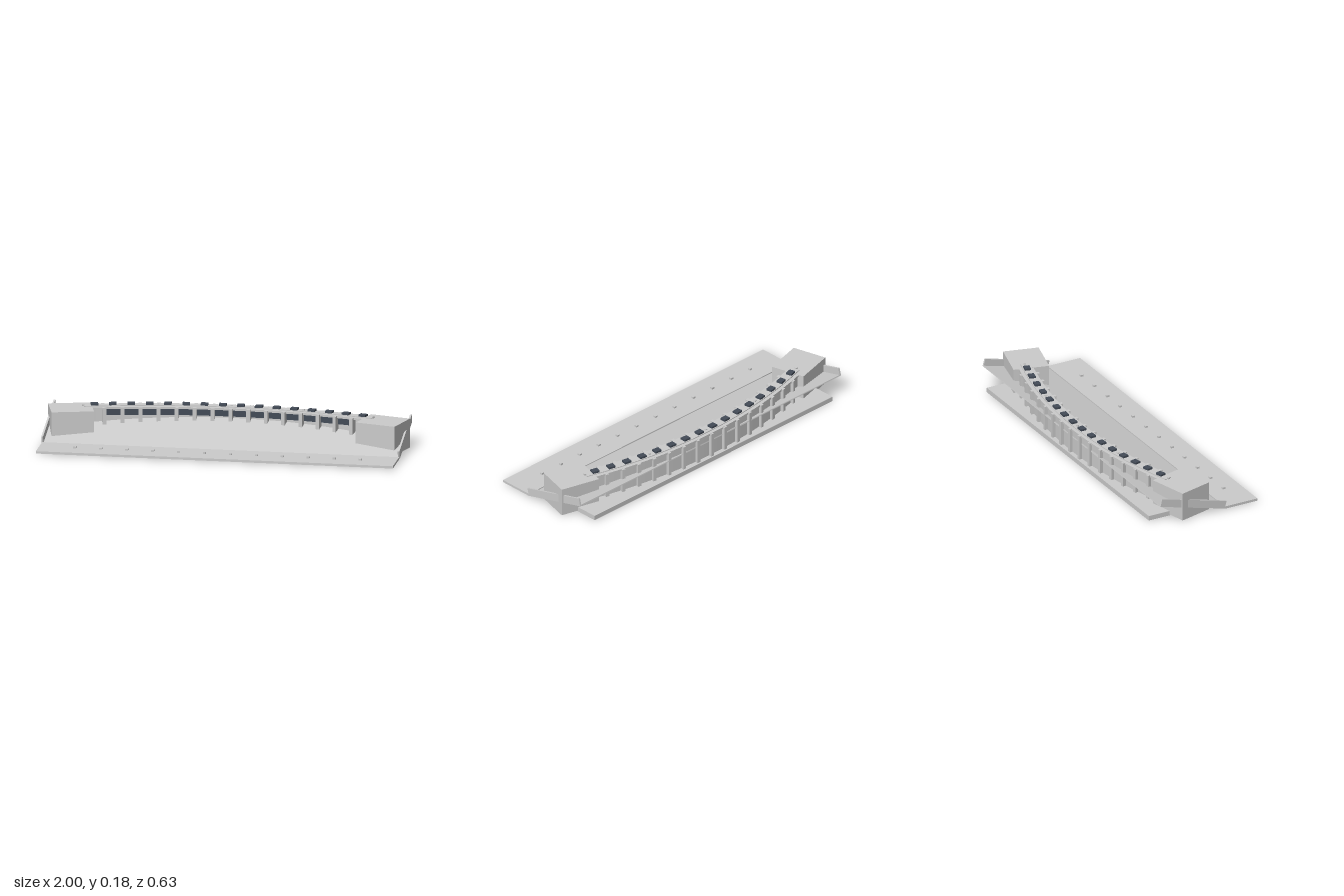
import * as THREE from 'three';

const grey = new THREE.MeshStandardMaterial({ color: 0xcccccc, flatShading: true });
const dark = new THREE.MeshStandardMaterial({ color: 0x444c58, flatShading: true });
const RAD = Math.PI / 180;
const R = 2.73;        // radius of the curved gallery
const ZC = 2.475;      // z of its centre
const STEP = 2.1 * RAD; // angle of one bay

function box(parent, name, w, h, d, x, y, z, mat = grey) {
  const m = new THREE.Mesh(new THREE.BoxGeometry(w, h, d), mat);
  m.name = name;
  m.position.set(x, y, z);
  parent.add(m);
  return m;
}

// box standing on the arc, facing its centre
function arcBox(parent, name, angle, r, w, d, y0, y1, mat) {
  const m = box(parent, name, w, y1 - y0, d, r * Math.sin(angle), (y0 + y1) / 2, ZC - r * Math.cos(angle), mat);
  m.rotation.y = -angle;
  return m;
}

// curved band between two radii and two heights
function arcBand(parent, name, r0, r1, y0, y1, half) {
  const s = new THREE.Shape();
  const a = Math.PI / 2 - half, b = Math.PI / 2 + half;
  s.absarc(0, -ZC, r1, a, b, false);
  s.absarc(0, -ZC, r0, b, a, true);
  const geo = new THREE.ExtrudeGeometry(s, { depth: y1 - y0, bevelEnabled: false, curveSegments: 32 });
  geo.rotateX(-Math.PI / 2);
  const m = new THREE.Mesh(geo, grey);
  m.name = name;
  m.position.y = y0;
  parent.add(m);
}

export function createModel() {
  const g = new THREE.Group();
  g.name = 'curvedGallery';

  // flat apron with a row of studs
  box(g, 'frontApron', 1.97, 0.013, 0.203, 0, 0.0115, 0.2135);
  for (let i = 0; i < 12; i++) {
    box(g, 'apronStud', 0.016, 0.012, 0.016, (i - 5.5) * 0.1433, 0.022, 0.213);
  }

  // sloping floor with side rails
  const ramp = new THREE.Group();
  ramp.name = 'ramp';
  ramp.position.set(0, 0.008, 0.109);
  ramp.rotation.x = 15 * RAD;
  g.add(ramp);
  box(ramp, 'rampFloor', 1.97, 0.006, 0.415, 0, 0.003, -0.2075);
  for (const s of [-1, 1]) box(ramp, 'sideRail', 0.01, 0.045, 0.415, s * 0.983, 0.0225, -0.2075);

  // rear foundation
  box(g, 'rearBase', 1.8, 0.027, 0.142, 0, 0.0135, -0.244);

  // angled end blocks
  for (const s of [-1, 1]) {
    const b = box(g, 'endBlock', 0.232, 0.162, 0.2, s * 0.86, 0.086, -0.092);
    b.rotation.y = -s * 15 * RAD;
  }

  // curved wall, deck and cap strip
  arcBand(g, 'curvedWall', 2.715, 2.765, 0.02, 0.157, 16.2 * RAD);
  arcBand(g, 'deck', 2.69, 2.772, 0.155, 0.1665, 16.2 * RAD);
  arcBand(g, 'capStrip', 2.71, 2.752, 0.165, 0.171, 17 * RAD);

  // pillars, window panels and roof blocks
  for (let i = -7; i <= 7; i++) {
    arcBox(g, 'innerPillar', i * STEP, 2.697, 0.02, 0.044, 0.06, 0.166);
    arcBox(g, 'outerPillar', i * STEP, 2.77, 0.02, 0.026, 0.02, 0.166);
  }
  for (let i = 0; i < 16; i++) {
    const a = (i - 7.5) * STEP;
    if (i > 0 && i < 15) arcBox(g, 'windowPanel', a, 2.712, 0.08, 0.01, 0.117, 0.157, dark);
    arcBox(g, 'roofBlock', a, R, 0.04, 0.034, 0.168, 0.182, dark);
  }
  // small posts along the roof
  for (const x of [-0.8, -0.4, 0, 0.4, 0.8]) {
    arcBox(g, 'roofPost', Math.asin(x / R), R, 0.012, 0.012, 0.168, 0.177);
  }
  return g;
}
